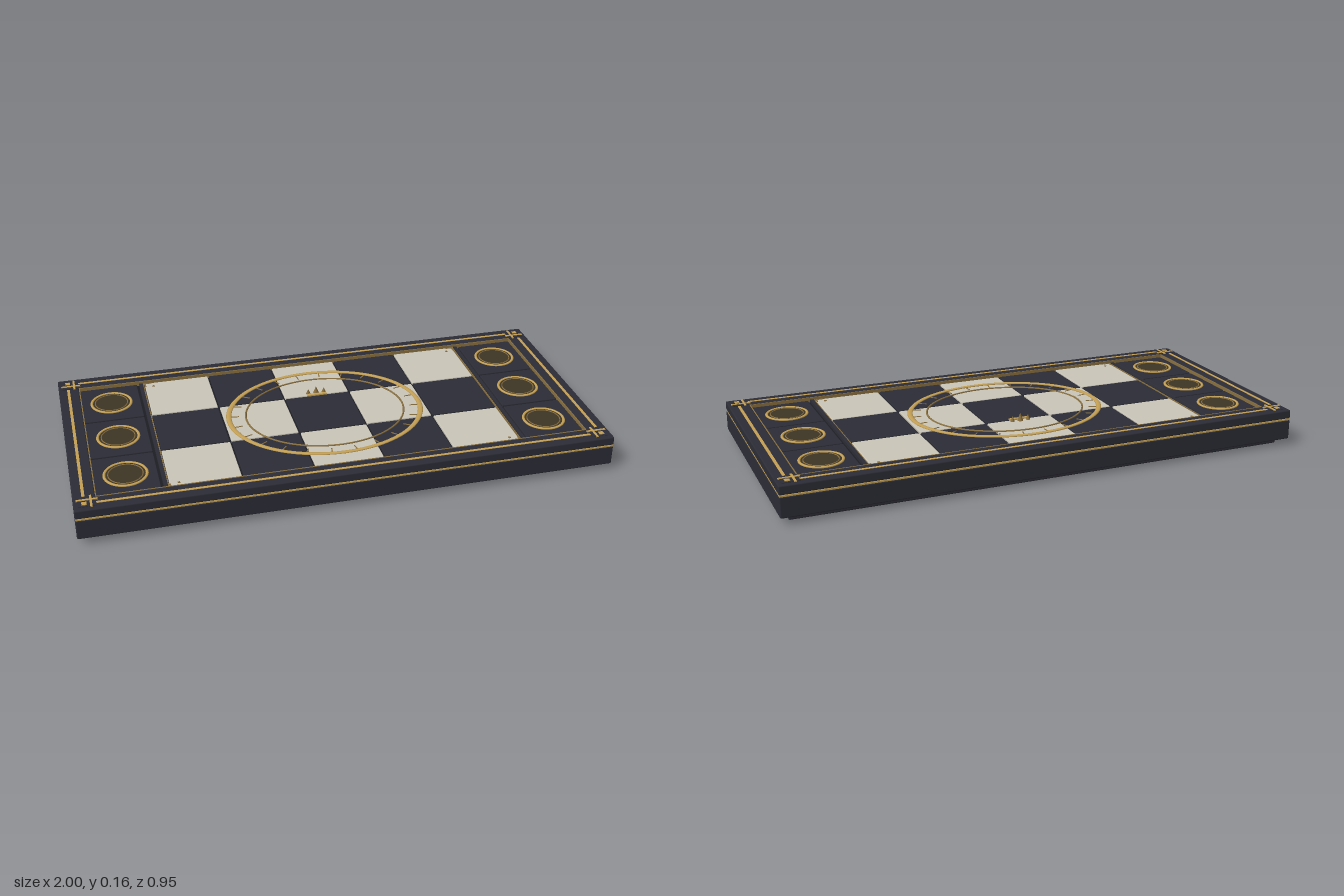
import * as THREE from 'three';
import { RoundedBoxGeometry } from 'three/addons/geometries/RoundedBoxGeometry.js';

const mat = (name, color) => {
  const m = new THREE.MeshStandardMaterial({ color });
  m.name = name;
  return m;
};

export function createModel() {
  const board = new THREE.Group();
  board.name = 'gameBoard';
  const dark = mat('charcoal', 0x2c2c36);
  const deep = mat('gapBlack', 0x1d1d24);
  const ivory = mat('ivory', 0xcac5b8);
  const gold = mat('gold', 0xc4a055);
  const dimGold = mat('agedGold', 0x8a7040);
  const olive = mat('darkBronze', 0x3d3424);

  const add = (name, geo, m, x = 0, y = 0, z = 0) => {
    const mesh = new THREE.Mesh(geo, m);
    mesh.name = name;
    mesh.position.set(x, y, z);
    board.add(mesh);
    return mesh;
  };
  // Boxes are given by centre x and z, and by bottom and top heights
  const box = (name, m, x, z, w, d, y0, y1) =>
    add(name, new THREE.BoxGeometry(w, y1 - y0, d), m, x, (y0 + y1) / 2, z);
  const soft = (name, m, x, z, w, d, y0, y1, r = 0.005) =>
    add(name, new RoundedBoxGeometry(w, y1 - y0, d, 2, r), m, x, (y0 + y1) / 2, z);
  // Flat-lying ring, squashed in height and stretched along x
  const ring = (name, m, x, z, r, tube, y, stretch = 1, seg = 48) => {
    const geo = new THREE.TorusGeometry(r, tube, 8, seg).rotateX(Math.PI / 2);
    geo.scale(stretch, 0.004 / tube, 1);
    return add(name, geo, m, x, y, z);
  };

  // Stepped base
  soft('plinth', dark, 0, 0, 1.93, 0.878, 0, 0.035);
  soft('body', dark, 0, 0, 2, 0.95, 0.025, 0.102);
  box('edgeStripe', gold, 0, 0, 1.996, 0.946, 0.1, 0.107);
  box('bed', deep, 0, 0, 1.9, 0.86, 0.104, 0.121);

  // Raised rim, its inlaid lines and the corner ornaments
  for (const s of [-1, 1]) {
    soft('longRail', dark, 0, s * 0.436, 2, 0.078, 0.108, 0.142);
    soft('shortRail', dark, s * 0.96, 0, 0.08, 0.794, 0.108, 0.142);
    box('longInlay', gold, 0, s * 0.434, 1.84, 0.011, 0.141, 0.1435);
    box('shortInlay', gold, s * 0.962, 0, 0.011, 0.78, 0.141, 0.1435);
    box('longLiner', dimGold, 0, s * 0.3955, 1.84, 0.004, 0.122, 0.1415);
    box('shortLiner', dimGold, s * 0.919, 0, 0.004, 0.79, 0.122, 0.1415);
    for (const t of [-1, 1]) {
      box('cornerPlate', dark, s * 0.952, t * 0.425, 0.064, 0.06, 0.138, 0.1435);
      box('cornerBarLong', gold, s * 0.951, t * 0.414, 0.075, 0.008, 0.142, 0.146);
      box('cornerBarShort', gold, s * 0.938, t * 0.424, 0.008, 0.07, 0.142, 0.146);
      box('cornerStud', gold, s * 0.962, t * 0.437, 0.018, 0.018, 0.142, 0.146);
    }
  }

  // Chequered field
  const pitch = 0.2645;
  for (let i = 0; i < 5; i++) {
    for (let j = 0; j < 3; j++) {
      soft((i + j) % 2 ? 'darkTile' : 'lightTile', (i + j) % 2 ? dark : ivory,
        (i - 2) * pitch, (j - 1) * pitch, 0.258, 0.258, 0.112, 0.13, 0.003);
    }
  }

  // Side trays with three round wells each
  for (const s of [-1, 1]) {
    box('divider', dark, s * 0.673, 0, 0.014, 0.79, 0.118, 0.133);
    box('dividerLine', dimGold, s * 0.6625, 0, 0.003, 0.79, 0.118, 0.131);
    for (let j = -1; j <= 1; j++) {
      const x = s * 0.803, z = j * pitch;
      soft('trayPanel', dark, x, z, 0.228, 0.256, 0.112, 0.13, 0.003);
      add('wellDisc', new THREE.CylinderGeometry(0.074, 0.074, 0.004, 40), olive, x, 0.1305, z);
      ring('wellRing', gold, x, z, 0.077, 0.0055, 0.132);
      ring('wellInnerRing', dimGold, x, z, 0.063, 0.0025, 0.131);
    }
    // Small ornaments on the outer tile corners
    for (const t of [-1, 1]) {
      box('tileStud', dimGold, s * 0.625, t * 0.363, 0.009, 0.009, 0.129, 0.132);
      box('tileBracketLong', dimGold, s * 0.645, t * 0.389, 0.03, 0.004, 0.129, 0.132);
      box('tileBracketShort', dimGold, s * 0.656, t * 0.378, 0.004, 0.026, 0.129, 0.132);
    }
  }

  // Central oval with tick marks
  const stretch = 1.205;
  ring('outerOval', gold, 0, 0, 0.313, 0.0085, 0.132, stretch, 96);
  ring('innerOval', dimGold, 0, 0, 0.258, 0.003, 0.131, stretch, 96);
  for (let k = 0; k < 24; k++) {
    const a = (k + 0.5) * Math.PI / 12;
    const tick = box('tick', dimGold, Math.cos(a) * 0.292 * stretch, Math.sin(a) * 0.292,
      0.03, 0.004, 0.129, 0.132);
    tick.rotation.y = -Math.atan2(Math.sin(a), Math.cos(a) * stretch);
  }

  // Little crown emblem
  box('crownBand', gold, 0, -0.133, 0.078, 0.013, 0.129, 0.135);
  for (const [x, h, r] of [[-0.032, 0.021, 0.009], [0, 0.03, 0.012], [0.032, 0.021, 0.009]]) {
    add('crownPoint', new THREE.ConeGeometry(r, h, 8), dimGold, x, 0.13 + h / 2, -0.15);
  }
  return board;
}
